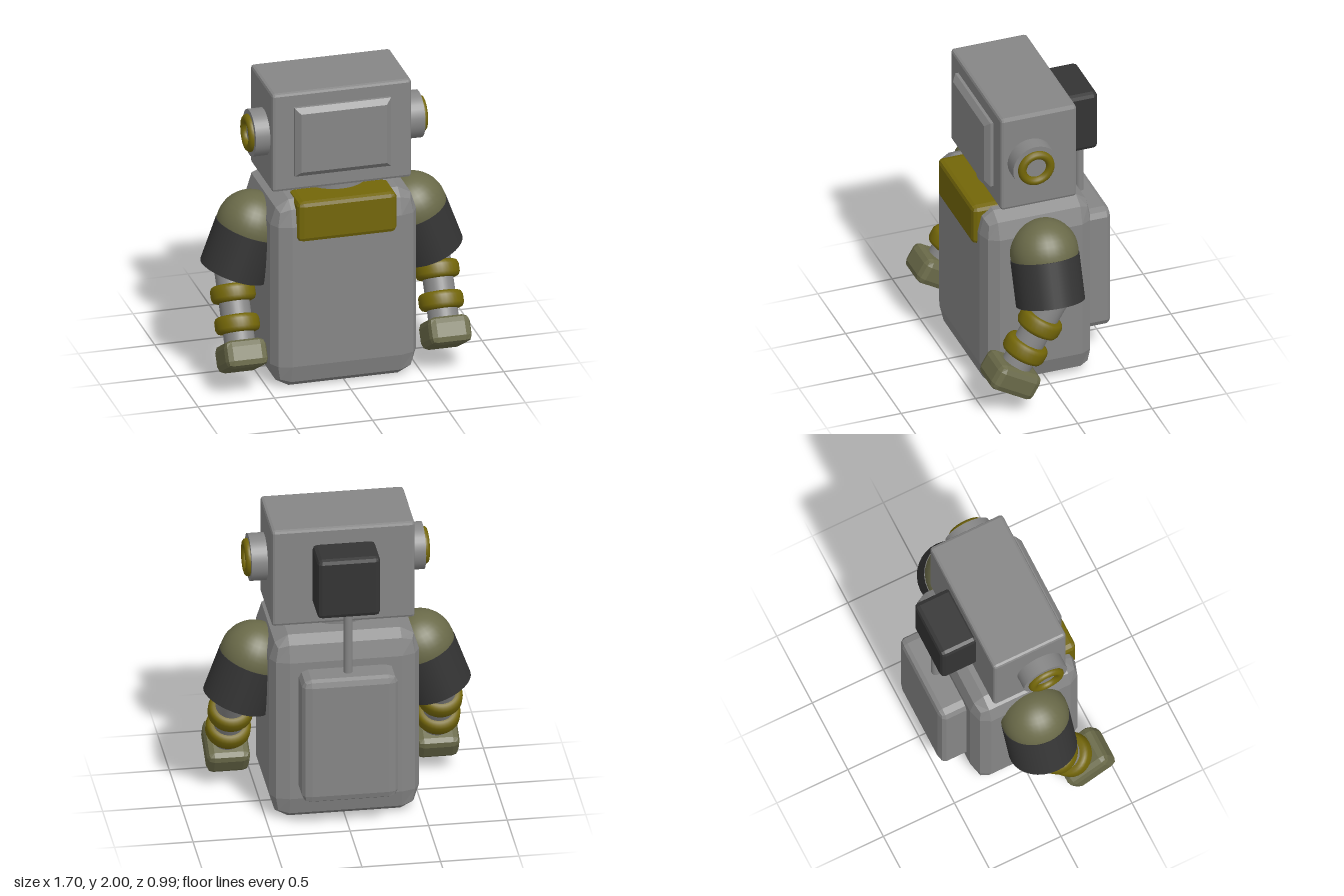
import * as THREE from 'three';
import { RoundedBoxGeometry } from 'three/addons/geometries/RoundedBoxGeometry.js';

const material = (name, color) => {
  const m = new THREE.MeshStandardMaterial({ color });
  m.name = name;
  return m;
};

export function createModel() {
  const grey = material('grey metal', 0x868686);
  const dark = material('dark metal', 0x343434);
  const olive = material('olive paint', 0x6a6a49);
  const yellow = material('mustard paint', 0x736608);

  const model = new THREE.Group();
  model.name = 'robot';

  const add = (parent, name, geometry, mat, x = 0, y = 0, z = 0) => {
    const mesh = new THREE.Mesh(geometry, mat);
    mesh.name = name;
    mesh.position.set(x, y, z);
    parent.add(mesh);
    return mesh;
  };

  // Faceted bevelled box; the bevel may differ along each axis
  const bevelBox = (w, h, d, rx, ry = rx, rz = rx) => {
    const g = new RoundedBoxGeometry(w / rx, h / ry, d / rz, 1, 1);
    g.scale(rx, ry, rz);
    g.computeVertexNormals();
    return g;
  };

  // Box given by its limits on each axis
  const block = (name, mat, [x0, x1], [y0, y1], [z0, z1], ...bevel) =>
    add(model, name, bevelBox(x1 - x0, y1 - y0, z1 - z0, ...bevel), mat,
      (x0 + x1) / 2, (y0 + y1) / 2, (z0 + z1) / 2);

  const rod = (r, h) => new THREE.CylinderGeometry(r, r, h, 32);

  // Body and head
  block('torso', grey, [-0.48, 0.475], [0, 1.28], [-0.32, 0.42], 0.12, 0.16, 0.0925);
  block('chestPlate', yellow, [-0.33, 0.32], [1.02, 1.295], [0.2, 0.45], 0.04, 0.03, 0.03);
  add(model, 'neck', rod(0.215, 0.2), grey, 0, 1.29, 0.08);
  block('head', grey, [-0.46, 0.452], [1.325, 2], [-0.2, 0.31], 0.02);

  // Face plate with a single sloped border
  const face = new THREE.Shape();
  face.moveTo(-0.28, -0.2).lineTo(0.28, -0.2).lineTo(0.28, 0.2).lineTo(-0.28, 0.2).closePath();
  add(model, 'facePlate', new THREE.ExtrudeGeometry(face, {
    depth: 0.03, bevelEnabled: true, bevelSegments: 1, bevelSize: 0.035, bevelThickness: 0.03,
  }), grey, -0.004, 1.665, 0.3);

  // Backpack and antenna
  block('backpack', grey, [-0.31, 0.3], [0.205, 1.07], [-0.495, -0.25], 0.06, 0.05, 0.035);
  add(model, 'antennaRod', rod(0.028, 0.5), grey, -0.004, 1.27, -0.385);
  block('antennaBox', dark, [-0.205, 0.196], [1.475, 1.89], [-0.44, -0.18], 0.03);

  // Rounded arm band profile
  const bandProfile = [[0.08, -0.056], [0.113, -0.056], [0.132, -0.048], [0.143, -0.026],
    [0.143, 0.026], [0.132, 0.048], [0.113, 0.056], [0.08, 0.056]]
    .map(([r, y]) => new THREE.Vector2(r, y));
  const band = new THREE.LatheGeometry(bandProfile, 32);

  for (const [side, s] of [['left', 1], ['right', -1]]) {
    // Ear with ring
    const ear = new THREE.Group();
    ear.name = side + 'Ear';
    ear.position.set(s * 0.5, 1.67, 0.115);
    model.add(ear);
    add(ear, 'earCup', rod(0.152, 0.11), grey).rotation.z = Math.PI / 2;
    add(ear, 'earRing', new THREE.TorusGeometry(0.094, 0.028, 12, 32), yellow, s * 0.06)
      .rotation.y = Math.PI / 2;

    // Upper arm, leaning outward
    const upper = new THREE.Group();
    upper.name = side + 'UpperArm';
    upper.position.set(s * 0.53, 1.015, 0.05);
    upper.rotation.z = s * 0.35;
    model.add(upper);
    add(upper, 'shoulder', new THREE.SphereGeometry(0.218, 32, 20), olive);
    add(upper, 'sleeve', rod(0.22, 0.3), dark, 0, -0.18);

    // Forearm, reaching forward
    const fore = new THREE.Group();
    fore.name = side + 'Forearm';
    fore.position.set(s * 0.667, 0.585, 0.13);
    fore.rotation.x = -Math.PI / 6;
    model.add(fore);
    add(fore, 'forearmTube', rod(0.098, 0.57), grey, 0, -0.065);
    for (const y of [0, -0.197]) add(fore, 'armBand', band, yellow, 0, y);
    add(fore, 'hand', bevelBox(0.275, 0.18, 0.322, 0.045), olive, 0, -0.398);
  }
  return model;
}
